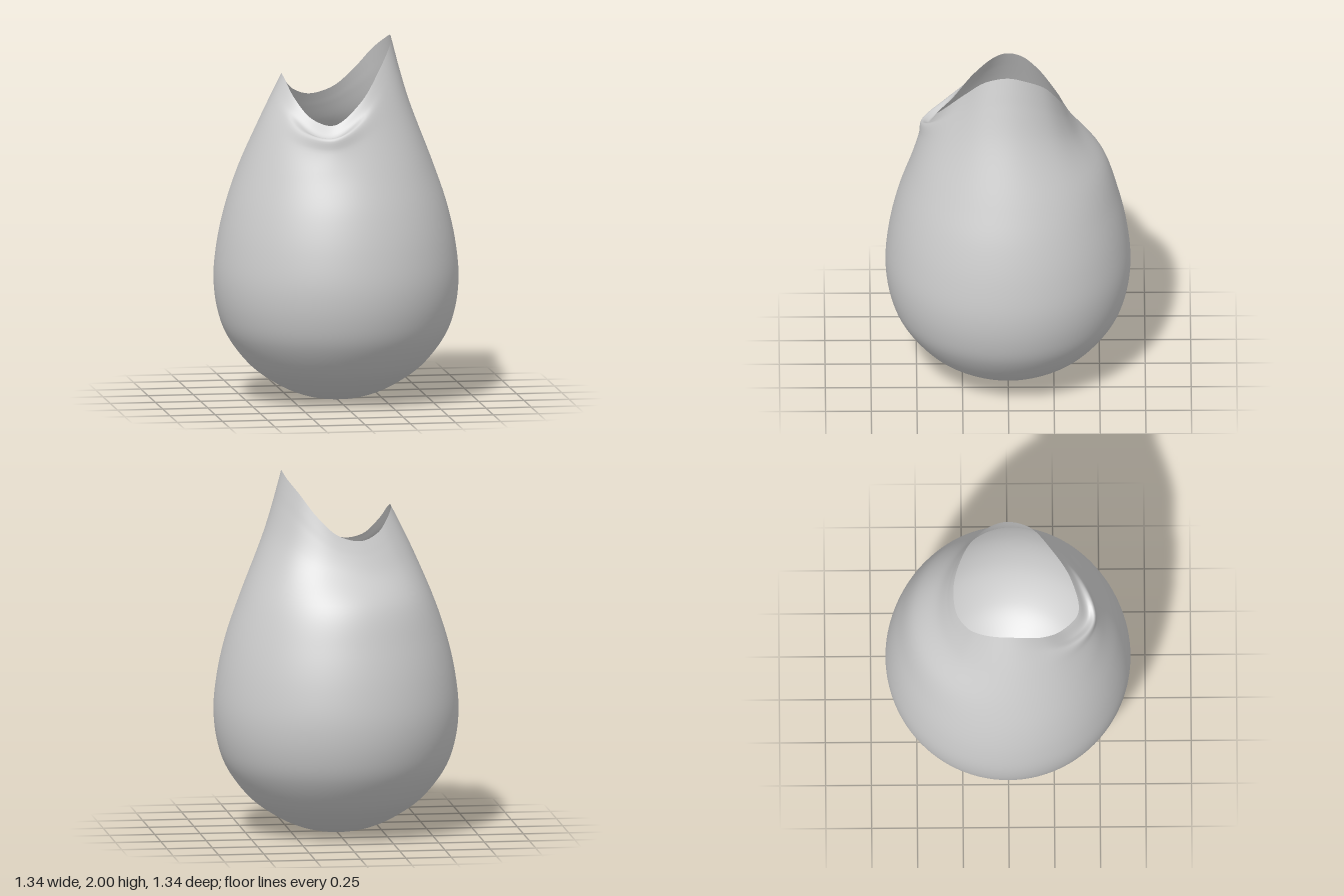
import * as THREE from 'three';

const COLS = 144, ROWS = 90;

// Wavy rim of the mouth: two peaks at the sides, dips at front and back
const rim = new THREE.CatmullRomCurve3([
  [0.3, 2, 0], [0.28, 1.965, 0.12], [0.2, 1.84, 0.235], [0.08, 1.68, 0.345],
  [-0.07, 1.565, 0.385], [-0.18, 1.59, 0.3], [-0.26, 1.69, 0.19], [-0.295, 1.78, 0.07],
  [-0.3, 1.8, 0], [-0.29, 1.785, -0.08], [-0.25, 1.73, -0.166], [-0.2, 1.68, -0.224],
  [-0.1, 1.645, -0.283], [0.03, 1.68, -0.298], [0.14, 1.78, -0.265], [0.23, 1.9, -0.193],
  [0.285, 1.97, -0.095],
].map(p => new THREE.Vector3(...p)), true);

// Round lower body shared by every section: [radius, height]
const belly = [
  [0, 0], [0.13, 0.013], [0.25, 0.05], [0.37, 0.115], [0.48, 0.2], [0.6, 0.36],
  [0.65, 0.5], [0.67, 0.67], [0.652, 0.87], [0.605, 1.08], [0.53, 1.3],
];

// One vertical section, from the base up to a point on the rim
function section(rimPoint) {
  const angle = Math.atan2(rimPoint.z, rimPoint.x);
  const radius = Math.hypot(rimPoint.x, rimPoint.z);
  const sway = -0.006 - 0.014 * Math.cos(angle) + 0.02 * Math.sin(angle);
  // Strength of the folded lip below the front dip
  const lip = Math.exp(-(((angle - 1.85) / 0.5) ** 2));
  const neck = (t, dr, dy) => [
    THREE.MathUtils.lerp(0.53, radius, t) + dr,
    THREE.MathUtils.lerp(1.3, rimPoint.y, t) + dy,
  ];
  const points = [
    ...belly,
    neck(0.5, sway + 0.016 * lip, 0),
    neck(0.75, sway * 0.7 + 0.045 * lip, 0.005 * lip),
    neck(0.88, sway * 0.35 + 0.028 * lip, -0.035 * lip),
    neck(1, 0, 0),
  ];
  const curve = new THREE.CatmullRomCurve3(points.map(([r, y]) => new THREE.Vector3(r, y, 0)));
  return { angle, points: curve.getPoints(ROWS) };
}

function vesselGeometry() {
  const positions = [], indices = [];
  const stride = ROWS + 1;
  for (let i = 0; i < COLS; i++) {
    const { angle, points } = section(rim.getPoint(i / COLS));
    points.forEach(p => positions.push(p.x * Math.cos(angle), Math.max(0, p.y), p.x * Math.sin(angle)));
    for (let j = 0; j < ROWS; j++) {
      const a = i * stride + j, c = ((i + 1) % COLS) * stride + j;
      if (j > 0) indices.push(a, a + 1, c);
      indices.push(c, a + 1, c + 1);
    }
  }
  const geometry = new THREE.BufferGeometry();
  geometry.setAttribute('position', new THREE.Float32BufferAttribute(positions, 3));
  geometry.setIndex(indices);
  geometry.computeVertexNormals();
  // All sections meet at the base, so they share a downward normal there
  for (let i = 0; i < COLS; i++) geometry.attributes.normal.setXYZ(i * stride, 0, -1, 0);
  return geometry;
}

export function createModel() {
  const group = new THREE.Group();
  group.name = 'vase';
  const vessel = new THREE.Mesh(
    vesselGeometry(),
    new THREE.MeshStandardMaterial({ color: 0xcccccc, side: THREE.DoubleSide }),
  );
  vessel.name = 'vessel';
  group.add(vessel);
  return group;
}
